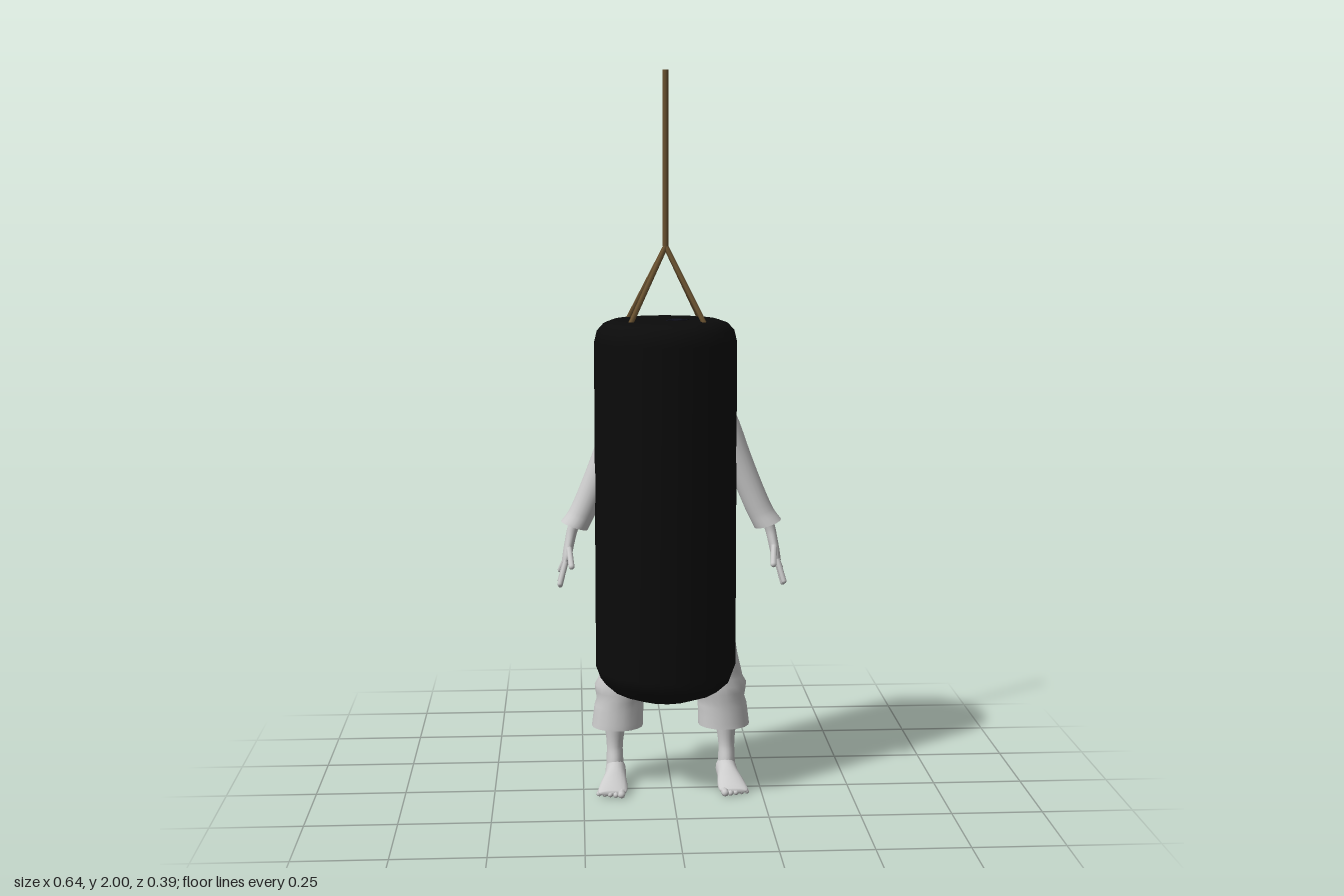
import * as THREE from 'three';

const V = (x, y, z) => new THREE.Vector3(x, y, z);
const X = V(1, 0, 0), Y = V(0, 1, 0), Z = V(0, 0, 1);

// Smooth skin through elliptical rings [x, y, z, radiusU, radiusV]
function loft(rings, u, v, sides = 18, steps = 4) {
  const centers = new THREE.CatmullRomCurve3(rings.map(r => V(r[0], r[1], r[2])));
  const radii = new THREE.CatmullRomCurve3(rings.map(r => V(r[3], r[4], 0)));
  const n = (rings.length - 1) * steps, pos = [], index = [];
  for (let i = 0; i <= n; i++) {
    const c = centers.getPoint(i / n), r = radii.getPoint(i / n);
    for (let j = 0; j < sides; j++) {
      const a = j / sides * Math.PI * 2;
      const p = c.clone().addScaledVector(u, Math.cos(a) * r.x).addScaledVector(v, Math.sin(a) * r.y);
      pos.push(p.x, p.y, p.z);
      if (i < n) {
        const k = (j + 1) % sides, b = i * sides;
        index.push(b + j, b + k, b + sides + j, b + k, b + sides + k, b + sides + j);
      }
    }
  }
  const g = new THREE.BufferGeometry();
  g.setAttribute('position', new THREE.Float32BufferAttribute(pos, 3));
  g.setIndex(index);
  g.computeVertexNormals();
  return g;
}

// Places a y-aligned mesh between two points
function between(mesh, a, b) {
  mesh.position.copy(a).add(b).multiplyScalar(0.5);
  mesh.quaternion.setFromUnitVectors(Y, b.clone().sub(a).normalize());
  return mesh;
}

export function createModel() {
  const black = new THREE.MeshStandardMaterial({ color: 0x0b0b0b });
  black.name = 'black leather';
  const brown = new THREE.MeshStandardMaterial({ color: 0x6a5230 });
  brown.name = 'brown rope';
  const pale = new THREE.MeshStandardMaterial({ color: 0xcccccc, side: THREE.DoubleSide });
  pale.name = 'pale cloth and skin';
  const navy = new THREE.MeshStandardMaterial({ color: 0x12121f });
  navy.name = 'dark hair';

  const model = new THREE.Group();
  model.name = 'hangingBag';
  const add = (parent, name, geometry, material) => {
    const m = new THREE.Mesh(geometry, material);
    m.name = name;
    parent.add(m);
    return m;
  };
  const rod = (parent, name, a, b, r, mat, sides = 8) =>
    between(add(parent, name, new THREE.CylinderGeometry(r, r, a.distanceTo(b), sides), mat), a, b);
  const digit = (parent, name, a, b, r) =>
    between(add(parent, name, new THREE.CapsuleGeometry(r, a.distanceTo(b), 4, 8), pale), a, b);

  // Bag, slightly off the middle
  const bx = -0.017;
  const profile = [[0, 0.27], [0.09, 0.272], [0.15, 0.295], [0.183, 0.325], [0.196, 0.36],
    [0.196, 1.27], [0.188, 1.302], [0.17, 1.322], [0.145, 1.331], [0, 1.331]];
  const bag = add(model, 'bag', new THREE.LatheGeometry(profile.map(p => new THREE.Vector2(...p)), 16), black);
  bag.position.x = bx;

  // Rope and its four straps
  const knot = V(bx, 1.53, 0);
  rod(model, 'rope', knot, V(bx, 2, 0), 0.008, brown);
  for (const sx of [-1, 1]) for (const sz of [-1, 1])
    rod(model, 'strap', knot, V(bx + sx * 0.1, 1.325, sz * 0.095), 0.007, brown, 6);

  // Hair tuft poking through the lid
  for (let i = 0; i < 7; i++) {
    const a = -0.25 + i * 0.4;
    const tip = V(0.005 + Math.cos(a) * 0.046, 1.333, 0.022 + Math.sin(a) * 0.038);
    const root = V(0.002, 1.33, 0.016);
    between(add(model, 'hairStrand', new THREE.ConeGeometry(0.005, root.distanceTo(tip), 5), navy), root, tip);
  }

  // One side of the figure, then its mirror
  function buildSide() {
    const side = new THREE.Group();

    const tilt = V(Math.cos(0.33), Math.sin(0.33), 0);
    add(side, 'sleeve', loft([
      [0.09, 1.15, -0.025, 0.036, 0.036], [0.14, 1.06, -0.027, 0.039, 0.038],
      [0.185, 0.945, -0.028, 0.037, 0.036], [0.215, 0.87, -0.027, 0.036, 0.036],
      [0.25, 0.79, -0.026, 0.036, 0.039], [0.27, 0.757, -0.025, 0.039, 0.045]], tilt, Z), pale);

    add(side, 'hand', loft([
      [0.255, 0.8, -0.025, 0.016, 0.018], [0.276, 0.745, -0.024, 0.015, 0.018],
      [0.284, 0.71, -0.022, 0.014, 0.025], [0.291, 0.675, -0.02, 0.013, 0.034],
      [0.297, 0.652, -0.02, 0.01, 0.032], [0.299, 0.645, -0.02, 0.001, 0.003]], tilt, Z), pale);
    const fingers = [[-0.046, -0.064, 0.622], [-0.029, -0.037, 0.598], [-0.011, -0.006, 0.592], [0.006, 0.024, 0.602]];
    for (const [z0, z1, y] of fingers)
      digit(side, 'finger', V(0.294, 0.662, z0), V(0.311, y, z1), 0.0075);
    digit(side, 'thumb', V(0.285, 0.695, 0.002), V(0.279, 0.655, 0.047), 0.0085);

    add(side, 'trouserLeg', loft([
      [0.115, 0.62, -0.04, 0.045, 0.05], [0.122, 0.54, -0.042, 0.055, 0.058],
      [0.123, 0.45, -0.046, 0.057, 0.062], [0.125, 0.385, -0.056, 0.063, 0.066],
      [0.135, 0.31, -0.066, 0.07, 0.068], [0.147, 0.23, -0.067, 0.07, 0.068],
      [0.152, 0.168, -0.066, 0.073, 0.068]], X, Z), pale);

    add(side, 'shin', loft([
      [0.155, 0.27, -0.068, 0.036, 0.038], [0.158, 0.18, -0.068, 0.031, 0.034],
      [0.16, 0.11, -0.066, 0.023, 0.028], [0.16, 0.07, -0.062, 0.024, 0.034],
      [0.16, 0.03, -0.058, 0.026, 0.036]], X, Z), pale);

    add(side, 'foot', loft([
      [0.157, 0.028, -0.102, 0.002, 0.002], [0.157, 0.03, -0.094, 0.02, 0.024],
      [0.158, 0.037, -0.06, 0.029, 0.036], [0.16, 0.034, -0.01, 0.03, 0.032],
      [0.166, 0.021, 0.03, 0.039, 0.02], [0.17, 0.014, 0.06, 0.041, 0.013],
      [0.172, 0.012, 0.072, 0.034, 0.007], [0.172, 0.012, 0.074, 0.002, 0.002]], X, Y), pale);
    for (let i = 0; i < 5; i++) {
      const x = 0.143 + i * 0.0155, r = i ? 0.0078 : 0.0105;
      digit(side, 'toe', V(x, r + 0.001, 0.055), V(x + 0.002, r, 0.08 - i * 0.005), r);
    }
    return side;
  }
  const left = buildSide(), right = buildSide();
  left.name = 'leftLimbs';
  right.name = 'rightLimbs';
  right.scale.x = -1;
  model.add(left, right);
  return model;
}
